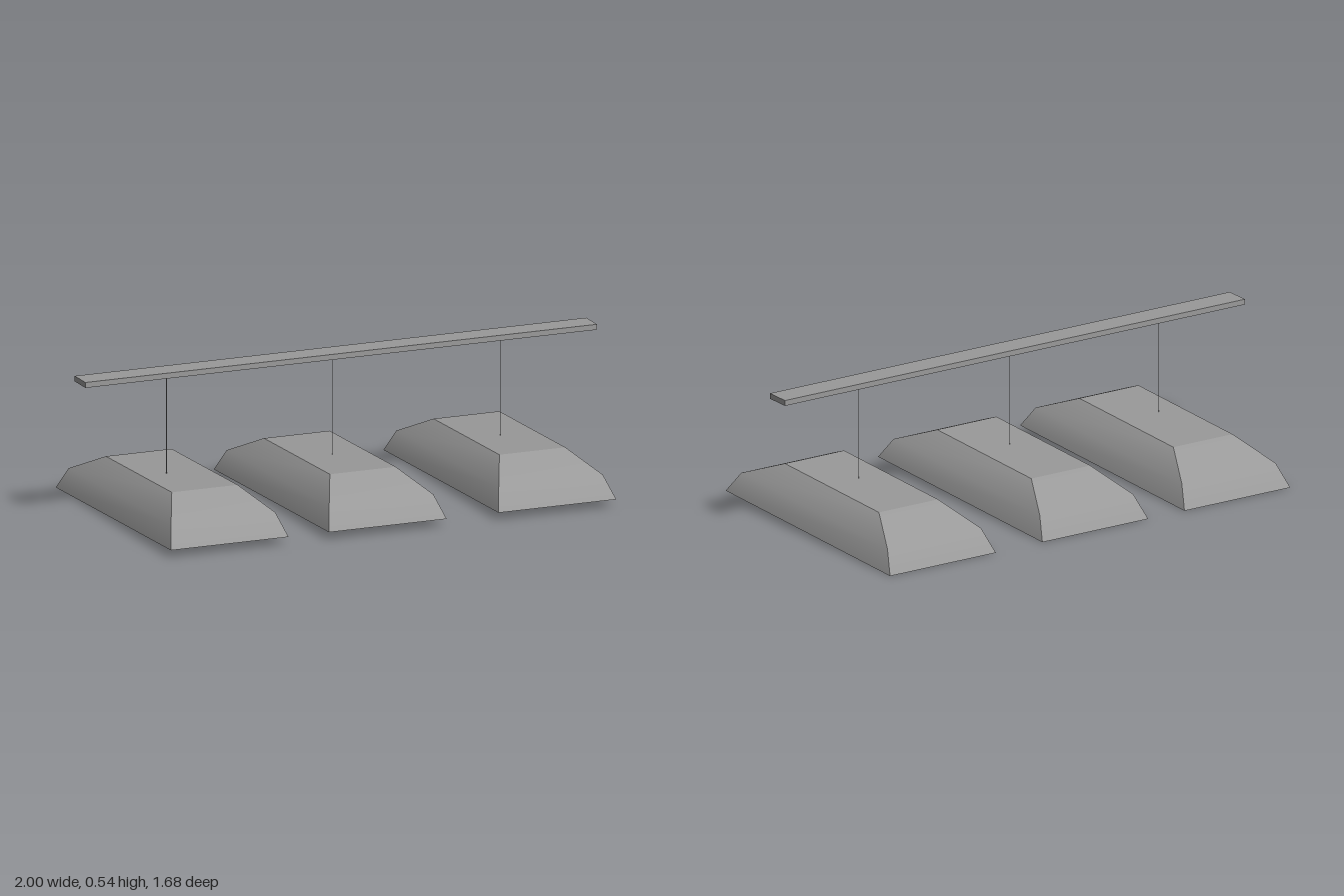
import * as THREE from 'three';
import { mergeGeometries } from 'three/addons/utils/BufferGeometryUtils.js';

const material = new THREE.MeshStandardMaterial({ color: 0x999999 });
const YAW = 0.444; // direction of the bar
const PITCH = -0.028; // slight tilt of each lamp along its length

function mesh(name, geometry) {
  const m = new THREE.Mesh(geometry, material);
  m.name = name;
  return m;
}

// Four-sided surface through rectangular rings [half width, half length, y].
// Each side is its own strip: smooth along the profile, sharp at the corners.
function rectLoft(rings) {
  const signs = [[1, 1], [1, -1], [-1, -1], [-1, 1]];
  const sides = signs.map((p, i) => {
    const q = signs[(i + 1) % 4];
    const positions = [];
    const index = [];
    rings.forEach(([w, l, y], k) => {
      positions.push(p[0] * w, y, p[1] * l, q[0] * w, y, q[1] * l);
      if (k > 0) {
        const a = 2 * (k - 1);
        index.push(a, a + 1, a + 3, a, a + 3, a + 2);
      }
    });
    const g = new THREE.BufferGeometry();
    g.setAttribute('position', new THREE.Float32BufferAttribute(positions, 3));
    g.setIndex(index);
    g.computeVertexNormals();
    return g;
  });
  return mergeGeometries(sides);
}

// Flat rectangle facing up or down
function cap(w, l, y, up) {
  const g = new THREE.PlaneGeometry(2 * w, 2 * l);
  g.rotateX(up ? -Math.PI / 2 : Math.PI / 2);
  g.translate(0, y, 0);
  return g;
}

function createLamp() {
  const lamp = new THREE.Group();
  const base = [0.227, 0.517, 0];
  const mid = [0.201, 0.46, 0.08];
  const top = [0.127, 0.296, 0.152];
  const root = [0.102, 0.402, 0.025];
  const face = [0.102, 0.402, -0.002];

  // Domed shade with a flat top
  lamp.add(mesh('shade', rectLoft([base, mid, top])));
  lamp.add(mesh('shadeTop', cap(...top, true)));
  // Underside rim sloping up towards the light panel
  lamp.add(mesh('rim', rectLoft([root, base])));
  // Light panel hanging inside the rim
  lamp.add(mesh('lightPanelEdge', rectLoft([face, root])));
  lamp.add(mesh('lightPanel', cap(...face, false)));

  lamp.rotation.set(PITCH, YAW, 0, 'YXZ');
  return lamp;
}

export function createModel() {
  const model = new THREE.Group();
  model.name = 'pendantLight';

  // Ceiling bar
  const bar = mesh('ceilingBar', new THREE.BoxGeometry(1.975, 0.02, 0.096));
  bar.position.set(-0.002, 0.535, 0.012);
  bar.rotation.y = YAW;
  model.add(bar);

  // Three lamps, each on a thin cable: lamp x, z and cable x, z
  const places = [
    [-0.573, 0.272, -0.592, 0.31],
    [-0.022, 0.009, -0.014, 0.037],
    [0.569, -0.275, 0.572, -0.245],
  ];
  places.forEach(([x, z, cx, cz], i) => {
    const lamp = createLamp();
    lamp.name = `lamp${i + 1}`;
    lamp.position.set(x, 0.0145, z);
    model.add(lamp);

    const cable = mesh(`cable${i + 1}`, new THREE.CylinderGeometry(0.0013, 0.0013, 0.37, 8));
    cable.position.set(cx, 0.345, cz);
    model.add(cable);
  });

  return model;
}
